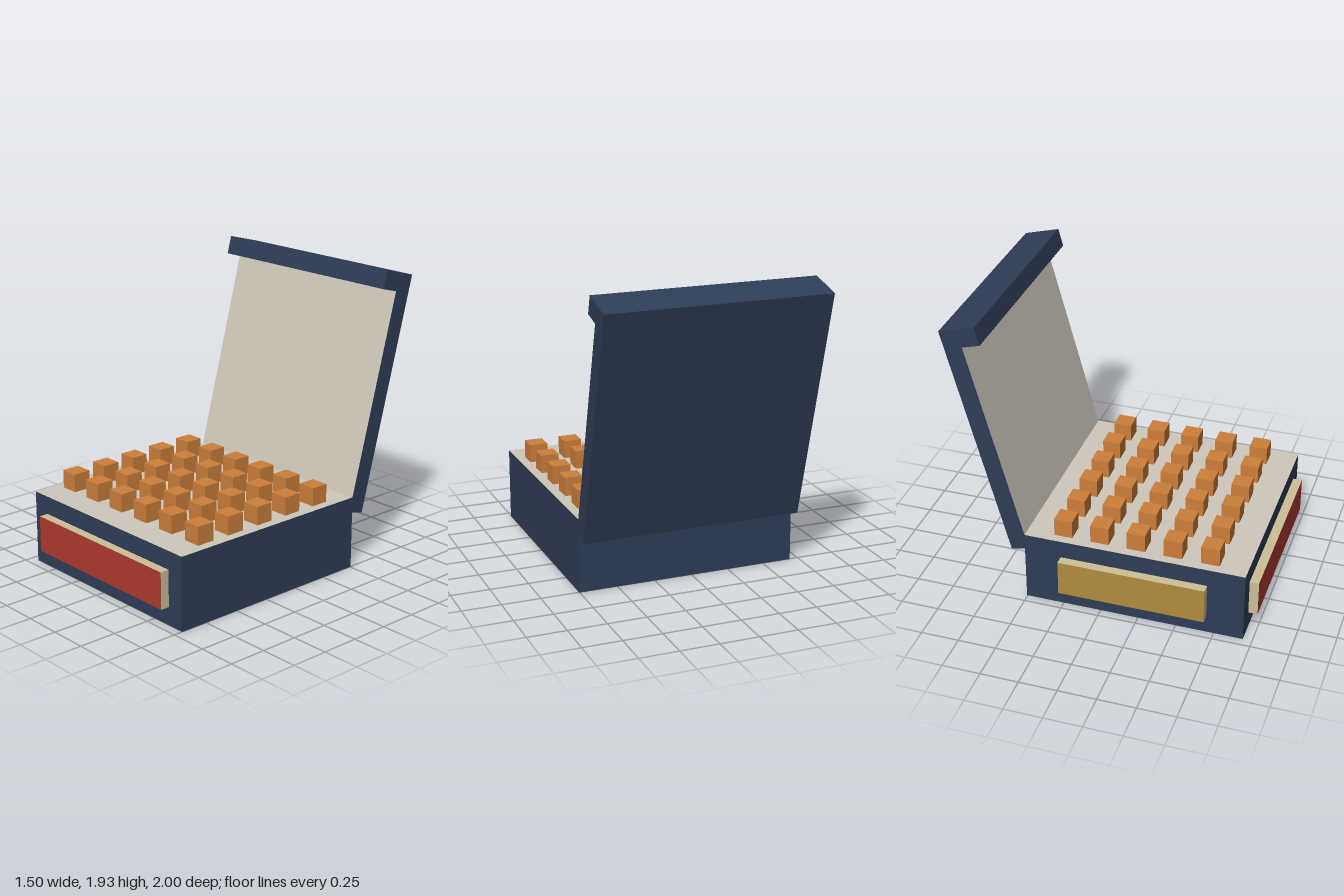
import * as THREE from 'three';

const U = 0.1204; // one grid unit of the design

export function createModel() {
  const mat = (name, color) => {
    const m = new THREE.MeshStandardMaterial({ color });
    m.name = name;
    return m;
  };
  const navy = mat('navy', 0x2e3d57);
  const cream = mat('cream', 0xcfc8ba);
  const orange = mat('orange', 0xcd7f3b);
  const tan = mat('tan', 0xcdc098);
  const red = mat('red', 0xb03a2e);
  const gold = mat('gold', 0xb08d3d);

  // Box with one face (0..5 = +x -x +y -y +z -z) in its own colour
  const box = (name, size, pos, body, face = -1, faceMat = body) => {
    const mats = Array.from({ length: 6 }, (_, i) => (i === face ? faceMat : body));
    const mesh = new THREE.Mesh(new THREE.BoxGeometry(...size), face < 0 ? body : mats);
    mesh.name = name;
    mesh.position.set(...pos);
    return mesh;
  };

  const model = new THREE.Group();
  model.name = 'openCase';
  const content = new THREE.Group();
  content.name = 'case';
  content.position.set(0.03, 0, 0.2175); // centre of the base
  model.add(content);

  // Base with cream top, and a label on its front and right sides
  content.add(
    box('base', [12 * U, 4 * U, 12 * U], [0, 2 * U, 0], navy, 2, cream),
    box('frontLabel', [10 * U, 2 * U, U / 2], [0, 2 * U, 6.25 * U], tan, 4, red),
    box('sideLabel', [U / 2, 2 * U, 8 * U], [-6.25 * U, 2 * U, 0], tan, 1, gold)
  );

  // Rows of small blocks
  const blocks = new THREE.Group();
  blocks.name = 'blocks';
  for (let row = 0; row < 5; row++) {
    for (let col = 0; col < 6; col++) {
      blocks.add(box('block', [U, U, U],
        [(col - 2.5) * 2 * U, 4.5 * U, (row - 2) * 2 * U], orange));
    }
  }
  content.add(blocks);

  // Lid leaning back 15 degrees, pivoted at its lower rear edge
  const lid = new THREE.Group();
  lid.name = 'lid';
  lid.position.set(0, 0.353, -0.8125);
  lid.rotation.x = -Math.PI / 12;
  lid.add(
    box('lidPanel', [12 * U, 13 * U, U], [0, 6.5 * U, U / 2], navy, 4, cream),
    box('lidLip', [12 * U, U, U], [0, 12.5 * U, 1.5 * U], navy)
  );
  content.add(lid);

  return model;
}
